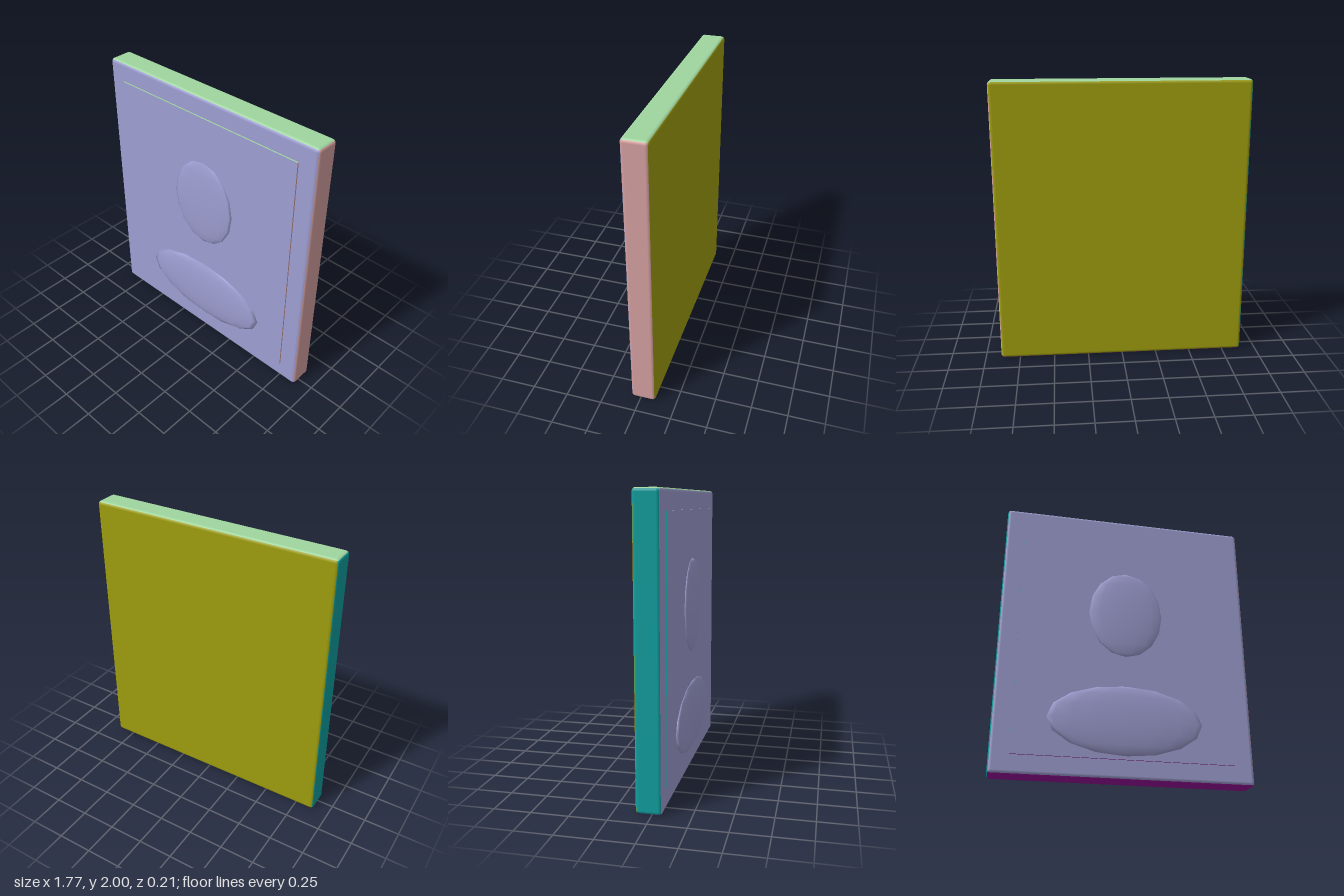
import * as THREE from 'three';
import { RoundedBoxGeometry } from 'three/addons/geometries/RoundedBoxGeometry.js';

export function createModel() {
  const group = new THREE.Group();

  // One tint per facing side, in box order: +x, -x, +y, -y, +z, -z
  const tints = [0xd59f9f, 0x0f9e9e, 0x9fd59f, 0x9e0f9e, 0x9e9ed2, 0x9e9e0f]
    .map((color) => new THREE.MeshStandardMaterial({ color }));
  const frontTint = tints[4];

  function add(name, geometry, material, y, z) {
    const mesh = new THREE.Mesh(geometry, material);
    mesh.name = name;
    mesh.position.set(0, y, z);
    group.add(mesh);
  }

  // Slab with softly rounded edges
  add('frame', new RoundedBoxGeometry(1.775, 1.995, 0.172, 4, 0.025), tints, 1.0025, -0.02);

  // Thin picture sheet on the front of the frame
  add('picturePanel', new THREE.BoxGeometry(1.51, 1.73, 0.014), tints, 1, 0.069);

  // Flattened ellipsoids: portrait head and shoulders in relief
  const reliefs = [
    ['head', 1.2, 0.265, 0.332, 0.029],
    ['shoulders', 0.402, 0.535, 0.245, 0.032],
  ];
  for (const [name, y, rx, ry, rz] of reliefs) {
    add(name, new THREE.SphereGeometry(1, 16, 8).scale(rx, ry, rz), frontTint, y, 0.075);
  }
  return group;
}
